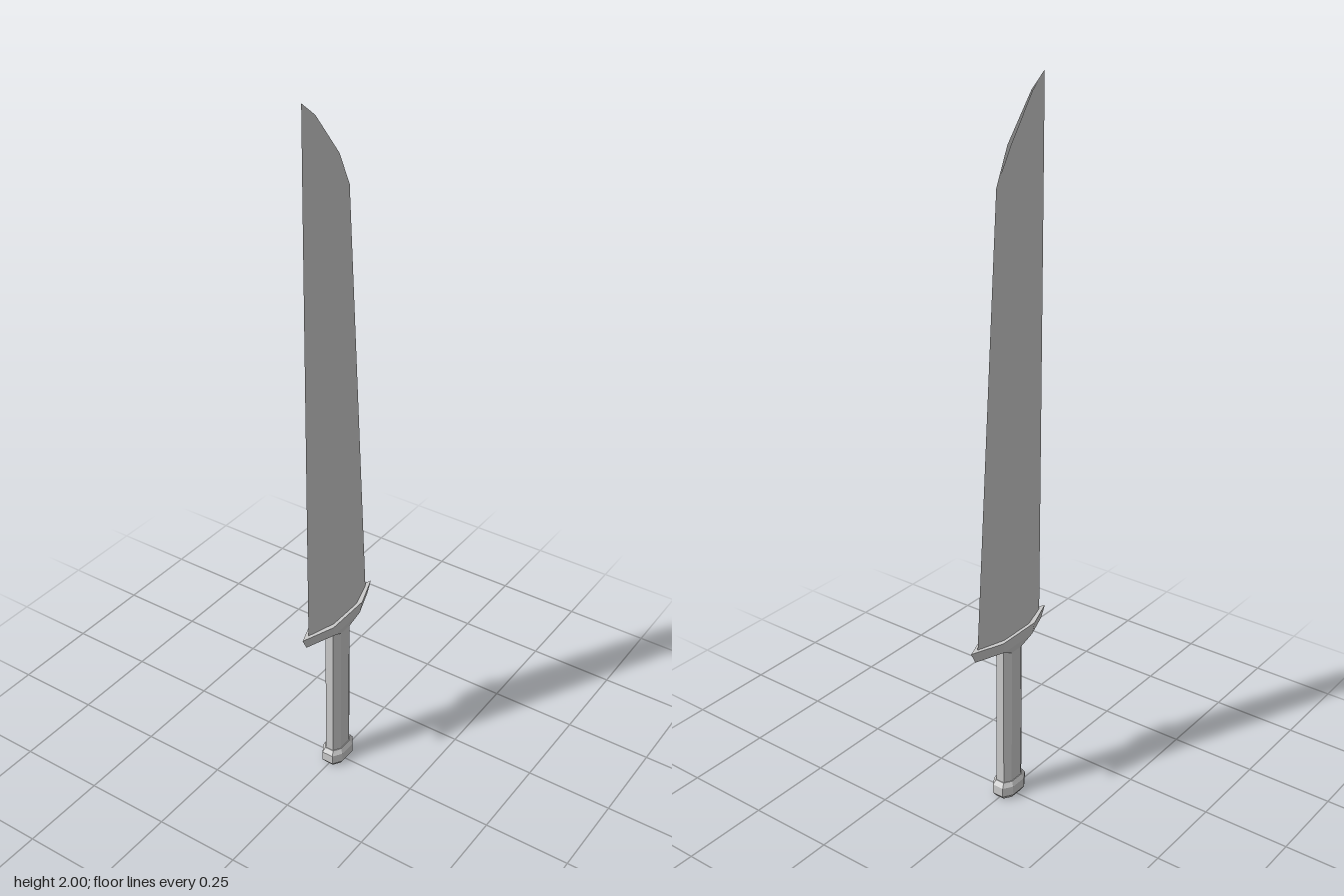
import * as THREE from 'three';

const material = new THREE.MeshStandardMaterial({ color: 0xcccccc, flatShading: true });

// Skin a stack of rings (bottom to top, each anticlockwise seen from above) and cap both ends.
function loft(name, rings) {
  const pos = [];
  const tri = (a, b, c) => pos.push(...a, ...b, ...c);
  const n = rings[0].length;
  for (let r = 0; r < rings.length - 1; r++) {
    for (let i = 0; i < n; i++) {
      const j = (i + 1) % n;
      const [a, b, c, d] = [rings[r][i], rings[r][j], rings[r + 1][j], rings[r + 1][i]];
      tri(a, b, c);
      tri(a, c, d);
    }
  }
  const bottom = rings[0], top = rings[rings.length - 1];
  for (let i = 1; i < n - 1; i++) {
    tri(bottom[0], bottom[i + 1], bottom[i]);
    tri(top[0], top[i], top[i + 1]);
  }
  const geometry = new THREE.BufferGeometry();
  geometry.setAttribute('position', new THREE.Float32BufferAttribute(pos, 3));
  geometry.computeVertexNormals();
  const mesh = new THREE.Mesh(geometry, material);
  mesh.name = name;
  return mesh;
}

// Six-sided section from half a profile: front point, two side ridges, back point, each [x, y, z].
function hexRing(front, ridgeFront, ridgeBack, back) {
  const flip = ([x, y, z]) => [-x, y, z];
  return [front, ridgeFront, ridgeBack, back, flip(ridgeBack), flip(ridgeFront)];
}

// Level six-sided section: half width, half length of the flat side, half length to the point.
const levelHex = (y, w, flat, point) =>
  hexRing([0, y, point], [w, y, flat], [w, y, -flat], [0, y, -point]);

// Bevelled-rectangle section for the grip and pommel.
function octRing(y, w, d) {
  const a = w * 0.5, b = d * 0.5;
  return [[a, d], [w, b], [w, -b], [a, -d], [-a, -d], [-w, -b], [-w, b], [-a, d]]
    .map(([x, z]) => [x, y, z]);
}

export function createModel() {
  const sword = new THREE.Group();
  sword.name = 'sword';

  // Blade: straight spine at +z, tapering cutting edge at -z, slanted tip
  sword.add(loft('blade', [
    levelHex(0.52, 0.026, 0.055, 0.138),
    hexRing([0, 1.75, 0.14], [0.008, 1.75, 0.075], [0.008, 1.75, -0.005], [0, 1.75, -0.05]),
    hexRing([0, 2, 0.14], [0.002, 1.96, 0.09], [0.005, 1.845, 0], [0, 1.752, -0.05]),
  ]));

  // Guard: pointed plate with a tapered underside
  sword.add(loft('guard', [
    levelHex(0.475, 0.026, 0.022, 0.04),
    levelHex(0.497, 0.032, 0.062, 0.148),
    levelHex(0.53, 0.035, 0.07, 0.165),
  ]));

  // Grip
  sword.add(loft('grip', [octRing(0.04, 0.025, 0.041), octRing(0.49, 0.025, 0.041)]));

  // Pommel
  sword.add(loft('pommel', [
    octRing(0, 0.027, 0.043),
    octRing(0.012, 0.034, 0.052),
    octRing(0.04, 0.034, 0.052),
    octRing(0.053, 0.027, 0.043),
  ]));

  return sword;
}
